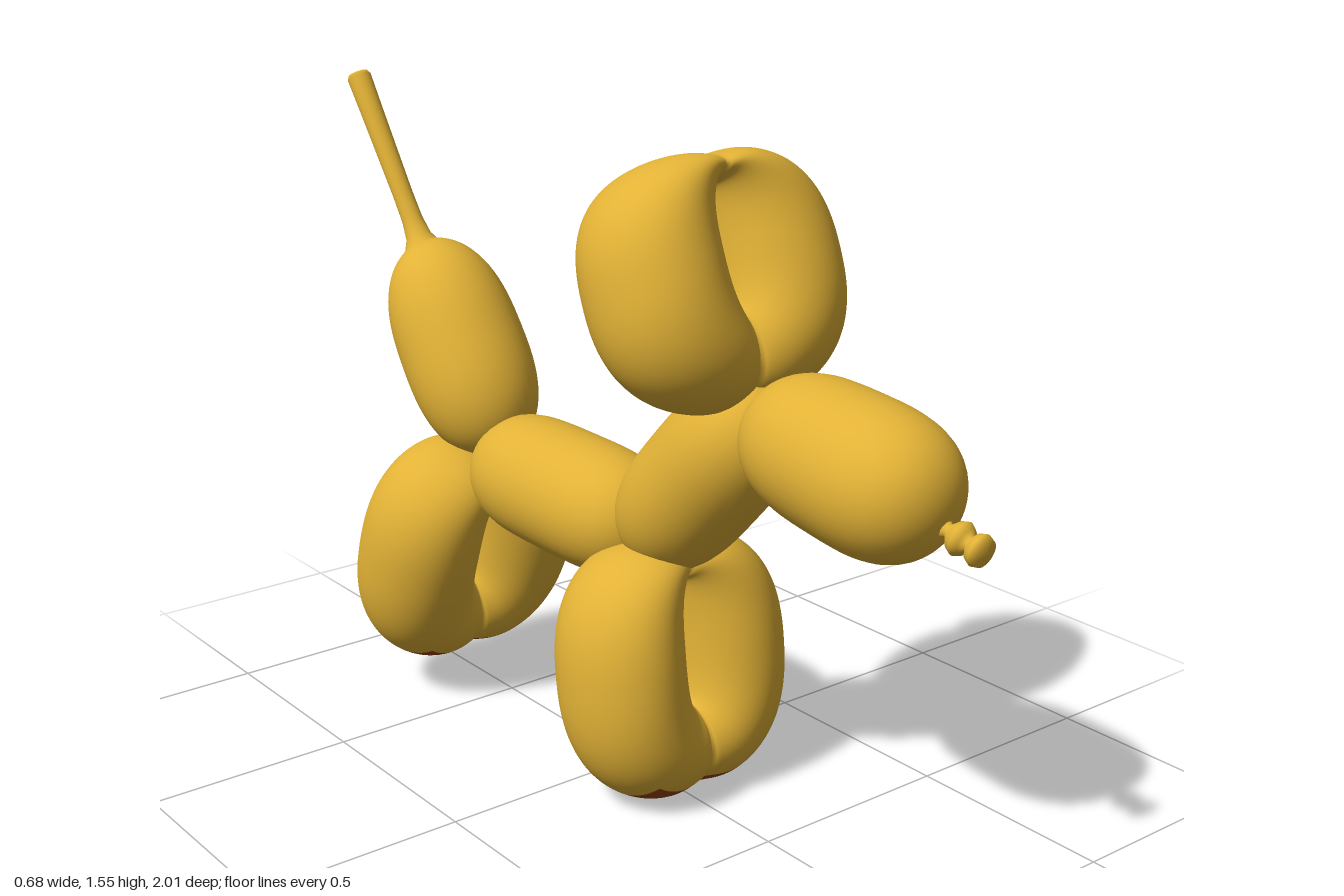
import * as THREE from 'three';

const gold = new THREE.MeshStandardMaterial({ color: 0xe2b236 });
gold.name = 'gold balloon';
const brown = new THREE.MeshStandardMaterial({ color: 0x984408 });
brown.name = 'brown soles';

const V = (x, y, z) => new THREE.Vector3(x, y, z);

// Lathe a list of [radius, height] points and lay its axis from a to b.
function turned(name, a, b, points) {
  const geo = new THREE.LatheGeometry(points.map(([r, y]) => new THREE.Vector2(r, y)), 40);
  const mesh = new THREE.Mesh(geo, gold);
  mesh.name = name;
  mesh.position.copy(a);
  mesh.quaternion.setFromUnitVectors(V(0, 1, 0), b.clone().sub(a).normalize());
  return mesh;
}

// Inflated segment with rounded ends; taper narrows the far end.
function sausage(name, a, b, radius, power, taper = 0) {
  const length = a.distanceTo(b);
  const points = [];
  for (let i = 0; i <= 40; i++) {
    const t = -Math.cos((i / 40) * Math.PI);
    const r = radius * Math.sqrt(Math.max(0, 1 - Math.abs(t) ** power)) * (1 - taper * t);
    points.push([r, ((t + 1) / 2) * length]);
  }
  return turned(name, a, b, points);
}

// Folded balloon loop: two fat lobes around a narrow slit, pinched at its root (+y).
// sole gives the half angles of the brown patch along and across the free end.
function foldedLoop(name, { w, h, depth, slitY, slitH, sole = [0, 0] }) {
  const N = 128, M = 64, pos = [], goldFaces = [], soleFaces = [];
  for (let i = 0; i < N; i++) {
    const p = (i / N) * Math.PI * 2, c = Math.cos(p), s = Math.sin(p);
    const crease = Math.exp(-((c / 0.2) ** 2));
    const root = s > 0;
    const r = (1 - (root ? 0.07 : 0.05) * crease)
      / (Math.abs(c / w) ** 2.5 + Math.abs(s / h) ** 2.5) ** 0.4;
    const ox = r * c, oy = r * s;
    const ix = 0.018 * c, iy = slitY + slitH * s;
    const low = root ? 0.5 : 0.72;
    const b = depth * (low + (1 - low) * Math.abs(c) ** 0.6);
    for (let j = 0; j < M; j++) {
      const q = (j / M) * Math.PI * 2, k = (1 + Math.cos(q)) / 2;
      pos.push(ix + (ox - ix) * k, iy + (oy - iy) * k, b * Math.sin(q));
    }
  }
  for (let i = 0; i < N; i++) {
    for (let j = 0; j < M; j++) {
      const i2 = (i + 1) % N, j2 = (j + 1) % M;
      const A = i * M + j, B = i2 * M + j, C = i2 * M + j2, D = i * M + j2;
      const along = Math.abs(((i + 0.5) / N - 0.75) * Math.PI * 2);
      const across = Math.abs(((j + 0.5 + M / 2) % M - M / 2) / M) * Math.PI * 2;
      const faces = along < sole[0] && across < sole[1] ? soleFaces : goldFaces;
      faces.push(A, B, C, A, C, D);
    }
  }
  const geo = new THREE.BufferGeometry();
  geo.setAttribute('position', new THREE.Float32BufferAttribute(pos, 3));
  geo.setIndex([...goldFaces, ...soleFaces]);
  geo.addGroup(0, goldFaces.length, 0);
  geo.addGroup(goldFaces.length, soleFaces.length, 1);
  geo.computeVertexNormals();
  const mesh = new THREE.Mesh(geo, [gold, brown]);
  mesh.name = name;
  return mesh;
}

export function createModel() {
  const model = new THREE.Group();
  model.name = 'balloonDog';

  // Snout, neck, body and rump, twisted together at three joints
  model.add(
    sausage('snout', V(0.053, 0.945, 0.38), V(0.072, 0.87, 0.91), 0.162, 3.2, -0.05),
    sausage('neck', V(0.05, 1.0, 0.43), V(0.01, 0.56, 0.04), 0.147, 3.2),
    sausage('body', V(0.0, 0.61, 0.1), V(-0.045, 0.645, -0.5), 0.151, 4),
    sausage('rump', V(-0.04, 0.66, -0.46), V(-0.06, 1.14, -0.765), 0.156, 2.7, 0.03),
  );

  // Uninflated tail flaring out of the rump
  const base = V(-0.058, 1.06, -0.725), tip = V(-0.1, 1.535, -0.98);
  const len = base.distanceTo(tip);
  model.add(turned('tail', base, tip, [
    [0.115, 0], [0.085, 0.035], [0.05, 0.07], [0.032, 0.105], [0.026, 0.15], [0.025, 0.22],
    [0.028, len * 0.8], [0.03, len - 0.01], [0.025, len], [0, len],
  ]));

  // Tied knot on the nose
  model.add(turned('noseKnot', V(0.08, 0.845, 0.885), V(0.092, 0.815, 1.0), [
    [0.03, 0], [0.014, 0.025], [0.032, 0.042], [0.038, 0.056], [0.03, 0.07], [0.016, 0.078],
    [0.03, 0.088], [0.036, 0.102], [0.03, 0.118], [0, 0.12],
  ]));

  // Ears (root down)
  const ears = foldedLoop('ears', { w: 0.318, h: 0.278, depth: 0.162, slitY: -0.07, slitH: 0.125 });
  ears.position.set(0.025, 1.222, 0.262);
  ears.rotation.set(-0.38, 0.06, Math.PI);

  // Leg pairs (root up)
  const legShape = { w: 0.29, depth: 0.165, slitY: 0.06, slitH: 0.14 };
  const frontLegs = foldedLoop('frontLegs', { ...legShape, h: 0.312, sole: [0.59, 0.74] });
  frontLegs.position.set(0.017, 0.302, 0.135);
  frontLegs.rotation.set(-0.12, 0.06, 0);
  const hindLegs = foldedLoop('hindLegs', { ...legShape, h: 0.32, sole: [0.64, 0.98] });
  hindLegs.position.set(-0.052, 0.388, -0.613);
  hindLegs.rotation.set(0.35, 0.06, 0);
  model.add(ears, frontLegs, hindLegs);

  return model;
}
